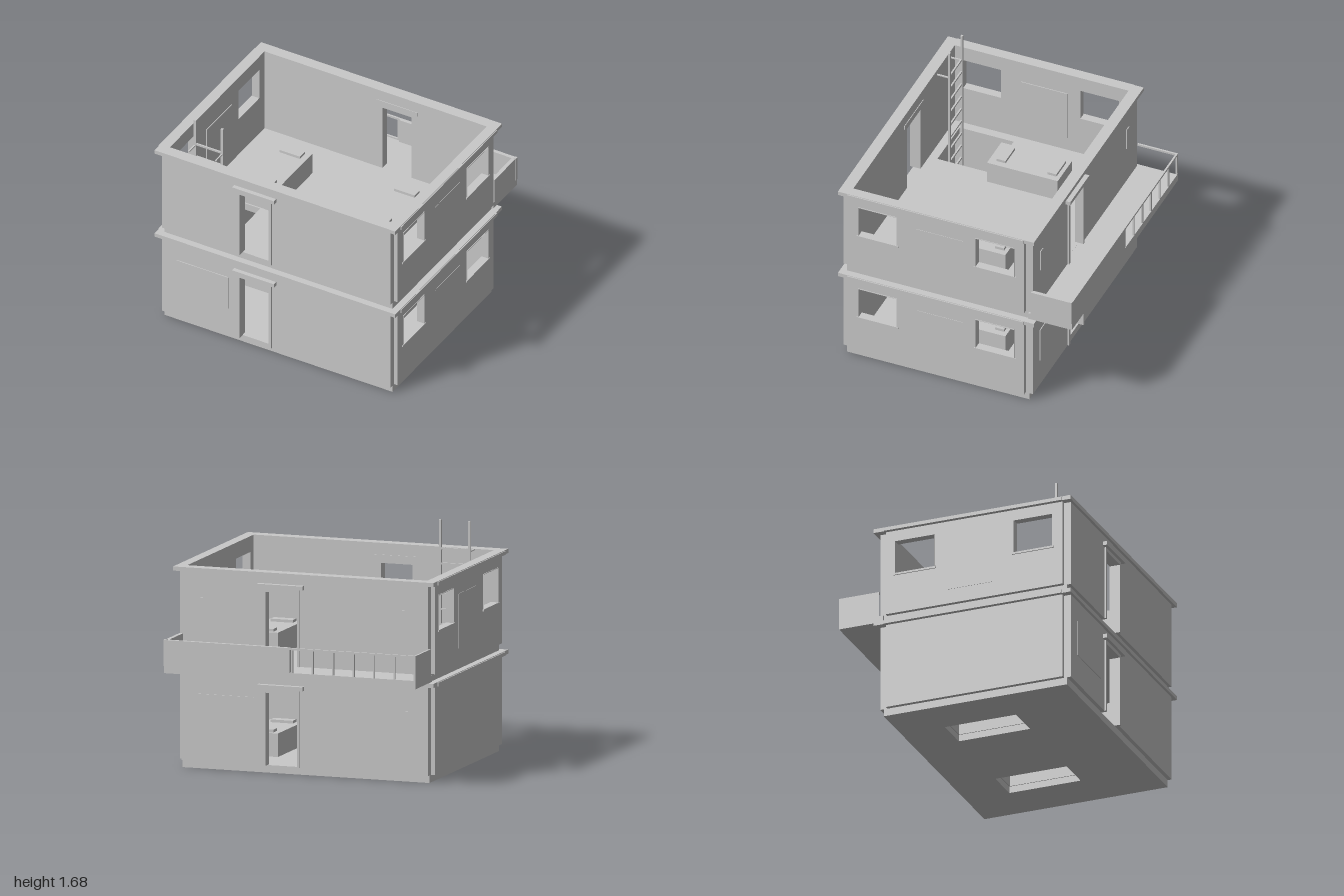
import * as THREE from 'three';

const grey = new THREE.MeshStandardMaterial({ color: 0xc9c9c9 });
grey.name = 'plainGrey';

function add(parent, name, geometry) {
  const mesh = new THREE.Mesh(geometry, grey);
  mesh.name = name;
  parent.add(mesh);
  return mesh;
}

// Box given by its limits on each axis
function box(parent, name, x0, x1, y0, y1, z0, z1) {
  const g = new THREE.BoxGeometry(x1 - x0, y1 - y0, z1 - z0);
  g.translate((x0 + x1) / 2, (y0 + y1) / 2, (z0 + z1) / 2);
  return add(parent, name, g);
}

const corners = (a0, a1, b0, b1) => [[a0, b0], [a1, b0], [a1, b1], [a0, b1]].map(p => new THREE.Vector2(...p));

function extrude(outline, holes, depth) {
  const shape = new THREE.Shape(outline);
  holes.forEach(h => shape.holes.push(new THREE.Path(corners(...h))));
  return new THREE.ExtrudeGeometry(shape, { depth, bevelEnabled: false });
}

// Horizontal slab with rectangular holes; rectangles are [x0, x1, z0, z1]
function slab(parent, name, rect, holes, y0, y1) {
  const flip = ([x0, x1, z0, z1]) => [x0, x1, -z1, -z0];
  const g = extrude(corners(...flip(rect)), holes.map(flip), y1 - y0);
  g.rotateX(-Math.PI / 2).translate(0, y0, 0);
  return add(parent, name, g);
}

const WINDOWS = [[0.445, 0.74], [-0.47, -0.17]];
const COUNTERS = [[-0.605, -0.345, -0.24, 0.31], [0.34, 0.6, -0.24, 0.31]];
const HATCH = [-0.85, -0.45, 0.32, 0.74];

// Side wall with optional windows and middle panel; side is +1 or -1
function sideWall(parent, side, hasWindows) {
  const holes = hasWindows ? WINDOWS.map(([a, b]) => [-b, -a, 0.365, 0.615]) : [];
  const g = extrude(corners(-0.82, 0.545, 0.055, 0.7), holes, 0.055);
  g.rotateY(Math.PI / 2).translate(side > 0 ? 0.915 : -0.97, 0, 0);
  add(parent, 'sideWall', g);
  if (!hasWindows) return;
  const [x0, x1] = side > 0 ? [0.95, 0.975] : [-0.975, -0.95];
  for (const [a, b] of WINDOWS) {
    const frame = extrude(corners(-b - 0.004, -a + 0.004, 0.361, 0.619), [[-b, -a, 0.365, 0.615]], x1 - x0);
    frame.rotateY(Math.PI / 2).translate(x0, 0, 0);
    add(parent, 'windowFrame', frame);
    box(parent, 'windowSill', x0 - 0.003, x1 + 0.003, 0.35, 0.365, a - 0.014, b + 0.014);
  }
  for (const x of [0.913, 0.969])
    box(parent, 'sidePanel', side * x - 0.004, side * x + 0.004, 0.165, 0.56, -0.07, 0.29);
}

// Wall with a doorway; the door lies between x = d0 and d1
function doorWall(parent, d0, d1, z0, z1, outward) {
  const outline = [[-0.94, 0.055], [d0, 0.055], [d0, 0.585], [d1, 0.585], [d1, 0.055],
    [0.94, 0.055], [0.94, 0.7], [-0.94, 0.7]].map(p => new THREE.Vector2(...p));
  add(parent, 'doorWall', extrude(outline, [], z1 - z0).translate(0, 0, z0));
  const f0 = outward > 0 ? z0 : z0 - 0.013;
  const f1 = outward > 0 ? z1 + 0.013 : z1;
  box(parent, 'doorJamb', d0 - 0.02, d0, 0.055, 0.612, f0, f1);
  box(parent, 'doorJamb', d1, d1 + 0.02, 0.055, 0.612, f0, f1);
  box(parent, 'doorHead', d0, d1, 0.585, 0.612, f0, f1);
  box(parent, 'doorLintel', d0 - 0.05, d1 + 0.055, 0.615, 0.645,
    outward > 0 ? z0 - 0.005 : z0 - 0.037, outward > 0 ? z1 + 0.033 : z1 + 0.005);
}

// Hollow box open underneath, with optional holes in its top
function hollowBox(parent, name, [x0, x1, z0, z1], y0, y1, topHoles) {
  const t = 0.006;
  slab(parent, name + 'Sides', [x0, x1, z0, z1], [[x0 + t, x1 - t, z0 + t, z1 - t]], y0, y1 - t);
  slab(parent, name + 'Top', [x0, x1, z0, z1], topHoles, y1 - t, y1);
}

// One storey: floor, walls, cornice and counters
function storey(index) {
  const s = new THREE.Group();
  s.name = index ? 'upperStorey' : 'lowerStorey';
  s.position.y = index * 0.73;
  slab(s, 'floor', [-0.94, 0.94, -0.573, 0.842], index ? [...COUNTERS, HATCH] : COUNTERS, 0, 0.055);
  sideWall(s, 1, true);
  sideWall(s, -1, index === 1);
  doorWall(s, -0.295, -0.055, 0.805, 0.872, 1);
  doorWall(s, 0.055, 0.295, -0.6, -0.545, -1);
  slab(s, 'cornice', [-0.992, 0.992, -0.63, 0.892], [[-0.915, 0.915, -0.545, 0.805]], 0.7, 0.73);
  for (const x of [-0.996, 0.996])
    box(s, 'corniceLip', x - 0.004, x + 0.004, 0.7, 0.726, -0.55, 0.82);

  // Hollow counters with two raised blocks each
  for (const rect of COUNTERS) {
    const [x0, x1] = rect;
    const blocks = [[-0.21, -0.14], [0.185, 0.255]].map(([a, b]) => [x0 + 0.045, x1 - 0.045, a, b]);
    hollowBox(s, 'counter', rect, 0.05, 0.225, blocks);
    for (const b of blocks) hollowBox(s, 'counterBlock', b, 0.225, 0.245, []);
  }

  // Thin plates on the front and back walls
  if (!index) {
    box(s, 'frontPanel', -0.82, -0.39, 0.275, 0.545, 0.87, 0.878);
    box(s, 'backPanel', 0.39, 0.82, 0.275, 0.545, -0.606, -0.598);
  }
  for (const x of index ? [-0.765, 0.785] : [-0.765])
    box(s, 'slimPanel', x - 0.022, x + 0.022, 0.345, 0.515, -0.606, -0.598);
  return s;
}

function balcony() {
  const b = new THREE.Group();
  b.name = 'balcony';
  box(b, 'balconyFloor', -0.96, 0.955, 0.735, 0.784, -0.91, -0.57);
  box(b, 'solidParapet', 0, 0.955, 0.784, 0.975, -0.91, -0.882);
  box(b, 'endParapet', 0.927, 0.955, 0.784, 0.975, -0.882, -0.59);
  box(b, 'cornerPost', 0.938, 0.959, 0.788, 0.979, -0.909, -0.885);
  box(b, 'topRail', -0.96, 0, 0.96, 0.975, -0.91, -0.896);
  box(b, 'bottomRail', -0.96, 0, 0.784, 0.795, -0.91, -0.896);
  for (let i = 0; i < 7; i++) {
    const x = -0.953 + i * 0.156;
    box(b, 'railPost', x - 0.007, x + 0.007, 0.784, 0.965, -0.909, -0.897);
  }
  // Outward facing end panel
  const g = new THREE.PlaneGeometry(0.31, 0.191);
  g.rotateY(-Math.PI / 2).translate(-0.96, 0.8795, -0.755);
  add(b, 'endPanel', g);
  box(b, 'endRail', -0.96, -0.946, 0.96, 0.975, -0.91, -0.6);
  return b;
}

function ladder() {
  const l = new THREE.Group();
  l.name = 'ladder';
  for (const x of [-0.773, -0.55]) {
    box(l, 'ladderPost', x - 0.009, x + 0.009, 0.02, 1.68, 0.682, 0.698);
    box(l, 'wallBracket', x - 0.006, x + 0.006, 1.455, 1.463, 0.69, 0.785);
  }
  for (let y = 1.47; y > 0.1; y -= 0.11)
    box(l, 'ladderRung', -0.773, -0.55, y - 0.007, y + 0.007, 0.684, 0.696);
  return l;
}

export function createModel() {
  const model = new THREE.Group();
  model.name = 'twoStoreyHouse';
  model.add(storey(0), storey(1), balcony(), ladder());
  return model;
}
